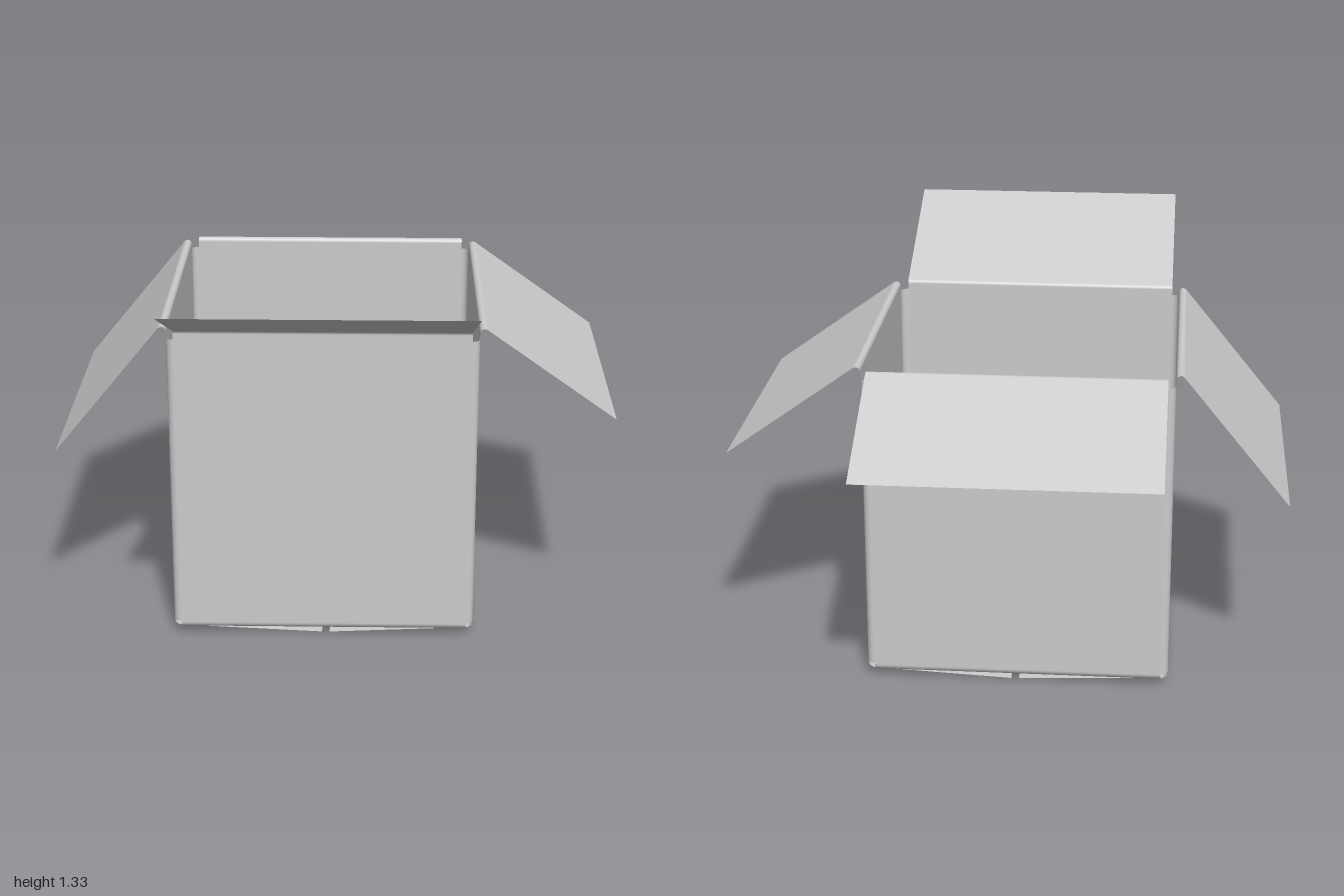
import * as THREE from 'three';

const material = new THREE.MeshStandardMaterial({ color: 0xcccccc, side: THREE.DoubleSide });
const HALF = 0.515;          // centre to wall
const FOLD = 0.025;          // corner and bottom fold radius
const LIP = 0.015;           // top fold radius
const W = HALF - FOLD;       // half width of every panel

function add(parent, name, geometry) {
  const mesh = new THREE.Mesh(geometry, material);
  mesh.name = name;
  parent.add(mesh);
  return mesh;
}

// Thin sheet: a profile of [outward, height] points swept across the panel width
function sheet(profile) {
  const positions = [], index = [];
  profile.forEach(([out, y], i) => {
    positions.push(-W, y, out, W, y, out);
    if (i) {
      const a = 2 * i - 2;
      index.push(a, a + 1, a + 3, a, a + 3, a + 2);
    }
  });
  const geometry = new THREE.BufferGeometry();
  geometry.setAttribute('position', new THREE.Float32BufferAttribute(positions, 3));
  geometry.setIndex(index);
  geometry.computeVertexNormals();
  return geometry;
}

// One side of the box: bottom flap, wall with rounded folds, top flap, corner
function boxSide({ name, turn, tip, bottomEnd }) {
  const side = new THREE.Group();
  side.name = name;
  side.rotation.y = turn * Math.PI / 2;

  const wall = [];
  const steps = 6, foldY = 0.047, lipY = 1.1;
  for (let i = 0; i <= steps; i++) {
    const a = (i / steps) * Math.PI / 2;
    wall.push([W + FOLD * Math.sin(a), foldY - FOLD * Math.cos(a)]);
  }
  // the lip turns from vertical to the direction of the open flap
  const bend = Math.atan2(tip[0] - HALF - LIP, tip[1] - lipY - LIP);
  for (let i = 0; i <= steps; i++) {
    const a = (i / steps) * bend;
    wall.push([HALF + LIP * (1 - Math.cos(a)), lipY + LIP * Math.sin(a)]);
  }
  add(side, 'wall', sheet(wall));
  add(side, 'topFlap', sheet([wall[wall.length - 1], tip]));
  add(side, 'bottomFlap', sheet([bottomEnd, wall[0]]));

  // rounded vertical corner, shorter than the walls so that notches remain
  const corner = add(side, 'corner',
    new THREE.CylinderGeometry(FOLD, FOLD, 1.03, 8, 1, true, 0, Math.PI / 2));
  corner.position.set(W, 0.565, W);
  return side;
}

export function createModel() {
  const box = new THREE.Group();
  box.name = 'openCardboardBox';
  const body = new THREE.Group();
  body.name = 'boxBody';
  body.position.set(-0.04, 0, -0.03);
  box.add(body);

  // tip: outer edge of the top flap; bottomEnd: inner edge of the bottom flap
  const sides = [
    { name: 'frontSide', turn: 0, tip: [1.03, 1.33], bottomEnd: [0.016, 0.03] },
    { name: 'leftSide', turn: 1, tip: [0.975, 0.8], bottomEnd: [0.021, 0] },
    { name: 'backSide', turn: 2, tip: [0.97, 0.9], bottomEnd: [0.03, 0.03] },
    { name: 'rightSide', turn: 3, tip: [0.9, 0.67], bottomEnd: [0.005, 0] },
  ].map(boxSide);
  body.add(...sides);

  // glue tab inside the back wall
  const tab = new THREE.Shape([
    [0.26, 0.1], [W, 0.05], [W, 1.08], [0.26, 1.03],
  ].map(([x, y]) => new THREE.Vector2(x, y)));
  add(sides[2], 'glueTab', new THREE.ShapeGeometry(tab)).position.z = HALF - 0.005;

  return box;
}
